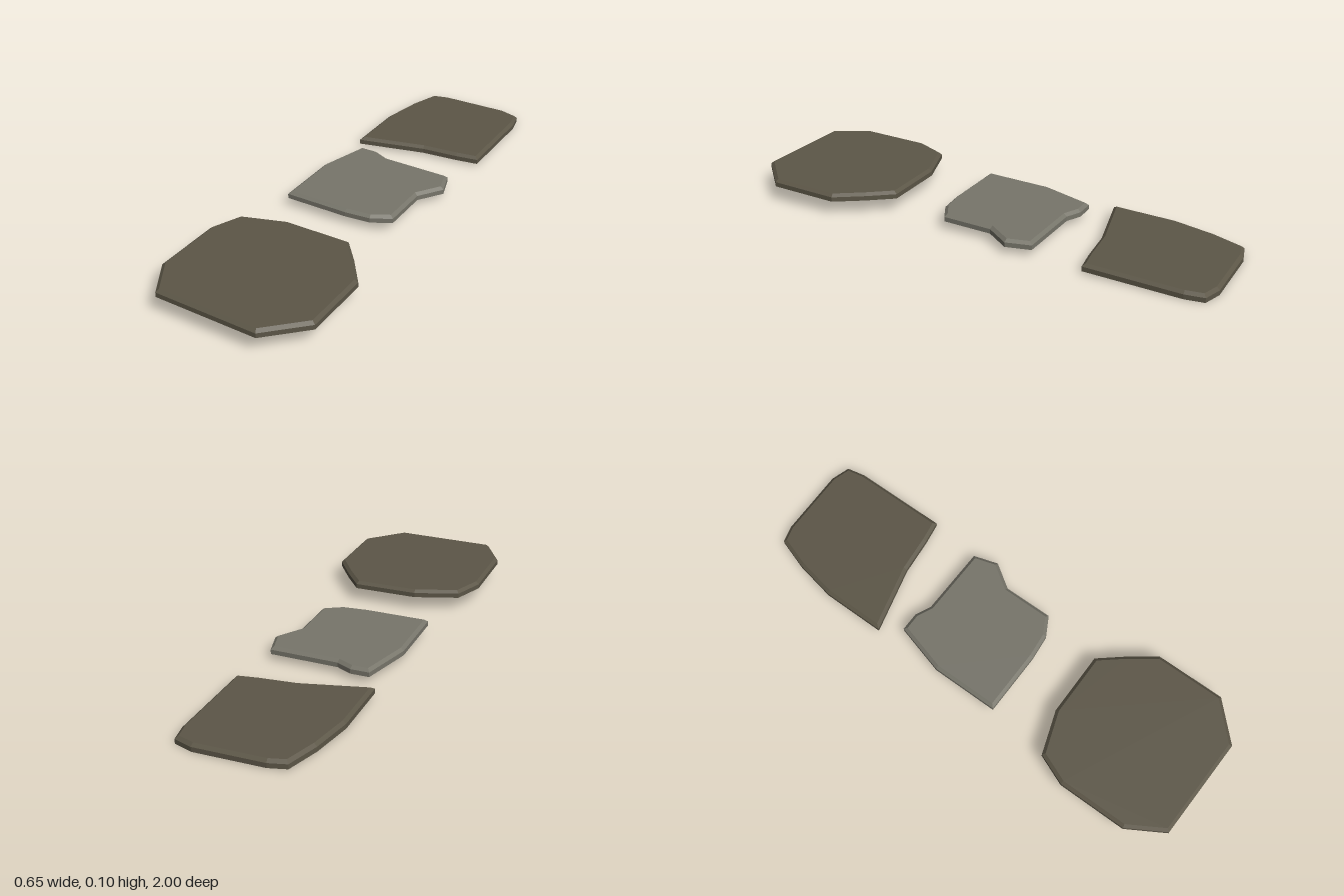
import * as THREE from 'three';

const THICKNESS = 0.03, BEVEL = 0.011, INSET = 0.013;
const SLOPE_X = -0.007, SLOPE_Z = 0.021;

// Mitred inward offset of a counter-clockwise outline
function insetOutline(points, d) {
  const n = points.length;
  return points.map((p, i) => {
    const a = p.clone().sub(points[(i + n - 1) % n]).normalize();
    const b = points[(i + 1) % n].clone().sub(p).normalize();
    const na = new THREE.Vector2(-a.y, a.x), nb = new THREE.Vector2(-b.y, b.x);
    return p.clone().addScaledVector(na.clone().add(nb), d / (1 + na.dot(nb)));
  });
}

// Flat stone with upright sides and a chamfered upper rim, lying on a gentle slope
function slabGeometry(outline, baseY) {
  // Plan points (x, -z), turned counter-clockwise as seen from above
  const base = outline.map(([x, z]) => new THREE.Vector2(x, -z));
  if (THREE.ShapeUtils.isClockWise(base)) base.reverse();
  const top = insetOutline(base, INSET);
  const n = base.length;
  const ring = (points, h) => points.map(p =>
    [p.x, baseY + h + SLOPE_X * p.x - SLOPE_Z * p.y, -p.y]);
  const rings = [ring(base, 0), ring(base, THICKNESS - BEVEL), ring(top, THICKNESS)];

  const positions = [];
  const tri = (a, b, c) => positions.push(...a, ...b, ...c);

  // Sides and chamfer
  for (let r = 0; r < 2; r++) {
    for (let i = 0; i < n; i++) {
      const j = (i + 1) % n;
      const [a, b, c, d] = [rings[r][i], rings[r][j], rings[r + 1][j], rings[r + 1][i]];
      tri(a, b, c);
      tri(a, c, d);
    }
  }
  // Top and underside
  for (const [a, b, c] of THREE.ShapeUtils.triangulateShape(top, []))
    tri(rings[2][a], rings[2][b], rings[2][c]);
  for (const [a, b, c] of THREE.ShapeUtils.triangulateShape(base, []))
    tri(rings[0][c], rings[0][b], rings[0][a]);

  const geometry = new THREE.BufferGeometry();
  geometry.setAttribute('position', new THREE.Float32BufferAttribute(positions, 3));
  geometry.computeVertexNormals();
  return geometry;
}

// Outlines are [x, z] corners in plan
const SLABS = [
  {
    name: 'frontSteppingStone', color: 0x5c5647, baseY: 0.051,
    outline: [[-0.328, 0.84], [-0.328, 0.555], [-0.277, 0.43], [-0.1, 0.37], [0.166, 0.37],
      [0.245, 0.465], [0.325, 0.575], [0.325, 0.86], [0.183, 1], [-0.24, 0.988]],
  },
  {
    name: 'middleSteppingStone', color: 0x77756a, baseY: 0.034,
    outline: [[-0.235, 0.165], [-0.235, -0.115], [-0.177, -0.325], [-0.1, -0.325],
      [-0.035, -0.295], [0.25, -0.29], [0.28, -0.19], [0.213, -0.09], [0.213, 0.115],
      [0.135, 0.158], [0.03, 0.168]],
  },
  {
    name: 'backSteppingStone', color: 0x5c5647, baseY: 0.0225,
    outline: [[-0.235, -0.41], [-0.235, -0.675], [-0.203, -0.845], [-0.16, -0.976],
      [-0.09, -0.995], [0.19, -1], [0.267, -0.976], [0.282, -0.9], [0.282, -0.51],
      [0.19, -0.495], [0.04, -0.48]],
  },
];

export function createModel() {
  const group = new THREE.Group();
  group.name = 'steppingStones';
  for (const { name, color, baseY, outline } of SLABS) {
    const material = new THREE.MeshStandardMaterial({ color, flatShading: true });
    const slab = new THREE.Mesh(slabGeometry(outline, baseY), material);
    slab.name = name;
    group.add(slab);
  }
  return group;
}
